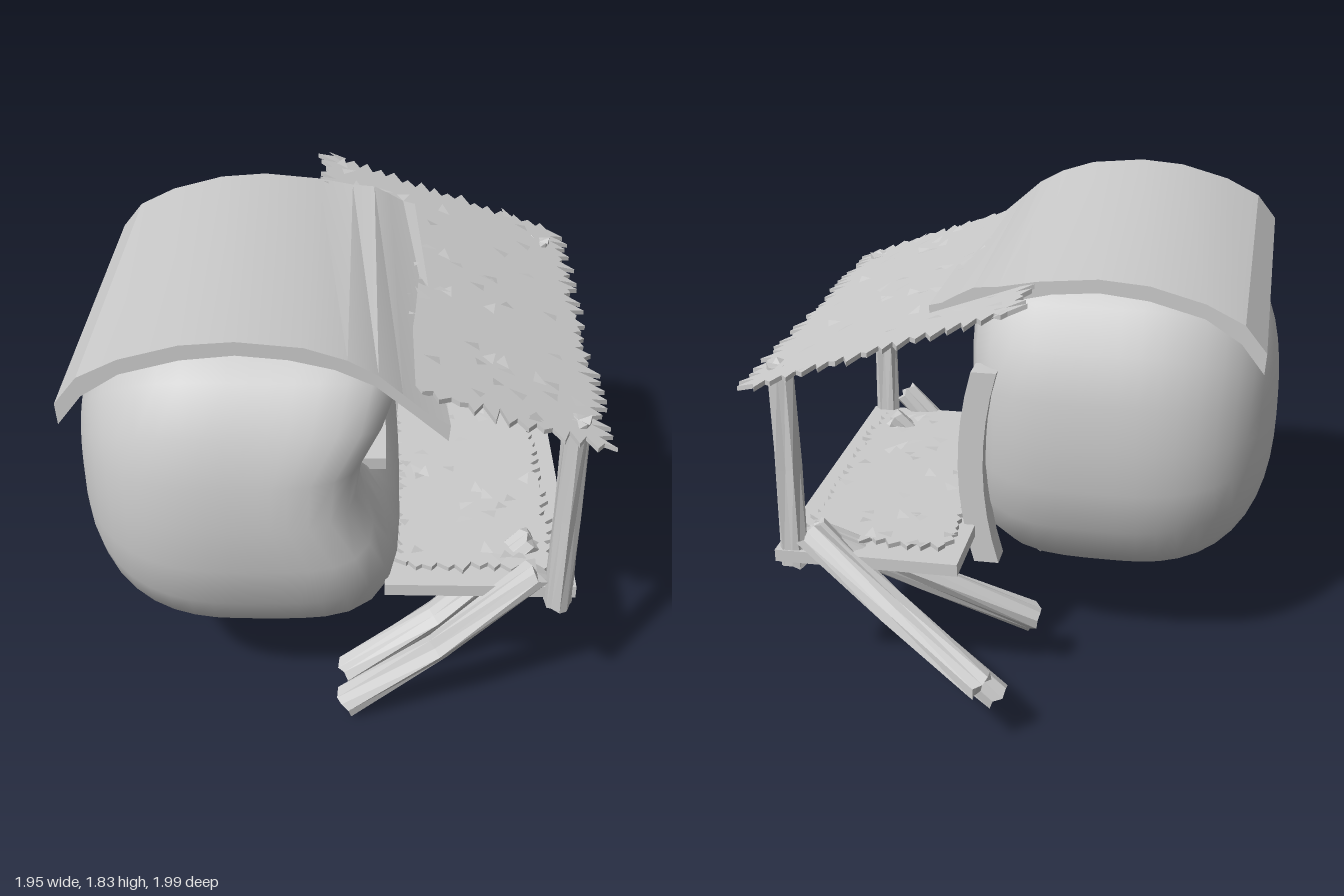
import * as THREE from 'three';
import { toCreasedNormals } from 'three/addons/utils/BufferGeometryUtils.js';

const smooth = new THREE.MeshStandardMaterial({ color: 0xcccccc, side: THREE.DoubleSide });
const flat = new THREE.MeshStandardMaterial({ color: 0xcccccc, flatShading: true, side: THREE.DoubleSide });

let seed = 7;
const rand = () => (seed = (seed * 16807) % 2147483647) / 2147483647;

function add(group, name, geometry, material = flat) {
  const mesh = new THREE.Mesh(geometry, material);
  mesh.name = name;
  group.add(mesh);
  return mesh;
}

// Apply a rule to every vertex
function warp(geometry, rule) {
  const p = geometry.attributes.position;
  const v = new THREE.Vector3();
  for (let i = 0; i < p.count; i++) {
    rule(v.fromBufferAttribute(p, i));
    p.setXYZ(i, v.x, v.y, v.z);
  }
  geometry.computeVertexNormals();
  return geometry;
}

// Rough log between two points, sagging slightly in the middle
function log(group, name, from, to, radius, sag = 0) {
  const a = new THREE.Vector3(...from), b = new THREE.Vector3(...to);
  const phase = rand() * 6;
  const geo = new THREE.CylinderGeometry(radius * 0.92, radius, a.distanceTo(b), 10, 2);
  warp(geo, (v) => {
    const angle = Math.atan2(v.z, v.x);
    const k = 1 + 0.14 * Math.sin(angle * 3 + phase) + 0.1 * Math.sin(angle * 5 + v.y * 4);
    v.x *= k;
    v.z *= k;
    v.y += 0.012 * Math.sin(angle * 4 + phase) * Math.sign(v.y);
  });
  const dir = b.clone().sub(a).normalize();
  geo.applyQuaternion(new THREE.Quaternion().setFromUnitVectors(new THREE.Vector3(0, 1, 0), dir));
  const mid = a.clone().add(b).multiplyScalar(0.5);
  const half = a.distanceTo(b) / 2;
  warp(geo, (v) => {
    const t = Math.min(1, Math.abs(v.dot(dir) / half));
    v.y -= sag * (1 - t);
    v.add(mid);
  });
  add(group, name, geo);
}

// Thin straw mat with a ragged border and loose tufts; height(x) gives its level
function strawMat(group, name, x0, x1, z0, z1, height, rag, tufts) {
  const corners = [[x0, z0], [x1, z0], [x1, z1], [x0, z1]];
  const pts = [];
  corners.forEach(([ax, az], c) => {
    const [bx, bz] = corners[(c + 1) % 4];
    const len = Math.hypot(bx - ax, bz - az);
    const n = Math.round(len / 0.03);
    for (let i = 0; i < n; i++) {
      const out = rag * (i % 2 ? 0.1 + rand() : -0.8 * rand());
      const t = (i + 0.5 * rand()) / n;
      pts.push(new THREE.Vector2(
        ax + (bx - ax) * t + ((bz - az) / len) * out,
        az + (bz - az) * t - ((bx - ax) / len) * out));
    }
  });
  const geo = new THREE.ExtrudeGeometry(new THREE.Shape(pts), { depth: 0.018, bevelEnabled: false });
  geo.rotateX(Math.PI / 2);
  add(group, name, warp(geo, (v) => { v.y += height(v.x); }));

  const pos = [];
  for (let i = 0; i < tufts; i++) {
    const x = x0 + (x1 - x0) * rand(), z = z0 + (z1 - z0) * rand(), turn = rand() * 6.28;
    [[0, 0.03], [2.6, 0.03], [4.2, 0.06]].forEach(([a, r], k) => {
      const px = x + r * Math.cos(turn + a), pz = z + r * Math.sin(turn + a);
      pos.push(px, height(px) + (k === 2 ? 0.012 : -0.002), pz);
    });
  }
  const tuftGeo = new THREE.BufferGeometry();
  tuftGeo.setAttribute('position', new THREE.Float32BufferAttribute(pos, 3));
  tuftGeo.computeVertexNormals();
  add(group, name + 'Tufts', tuftGeo);
}

export function createModel() {
  const model = new THREE.Group();
  model.name = 'roundHut';

  // Hollow rounded body, fuller on its +x side, where the window is open
  const body = new THREE.SphereGeometry(1, 24, 24, 0, Math.PI * 2, 0.3, Math.PI - 0.3);
  body.rotateZ(-Math.PI / 2);
  warp(body, (v) => {
    const near = Math.max(0, v.x) ** 4;
    const P = 2.6 + 1.9 * THREE.MathUtils.smoothstep(v.x, -0.2, 0.5);
    const r = (Math.abs(v.y) ** 2.6 + Math.abs(v.z) ** 2.6) ** (1 / 2.6);
    const n = (Math.abs(v.x) ** P + r ** P) ** (1 / P);
    v.set(-0.36 + (0.62 * v.x) / n, 1.03 + (0.69 * v.y) / n + 0.15 * near, 0.275 + (0.665 * v.z) / n + 0.07 * near);
    // hollow pressed in at the window, running out to the front
    const spread = v.z > 0.33 ? 0.9 : 0.3;
    const dent = 0.21 * Math.exp(-(((v.y - 1.13) / 0.23) ** 2) - ((v.z - 0.33) / spread) ** 2);
    v.x -= dent * THREE.MathUtils.smoothstep(v.x, -0.4, 0);
  });
  add(model, 'body', body, smooth);

  // Window sill
  const sill = add(model, 'windowSill', new THREE.BoxGeometry(0.12, 0.05, 0.31));
  sill.position.set(0.12, 1.025, 0.325);
  sill.rotation.x = 0.07;

  // Bowed door slab set into the back corner of the body
  const door = new THREE.BoxGeometry(0.1, 0.82, 0.1, 1, 8, 1);
  warp(door, (v) => {
    v.x += 0.195 - 0.35 * v.y * v.y;
    v.y += 0.9;
    v.z -= 0.3;
  });
  add(model, 'doorSlab', door);

  // Curved roof: the crown drops to the back while the porch edge lifts over the awning
  const outer = [[-0.92, 1.6], [-0.84, 1.7], [-0.7, 1.77], [-0.5, 1.825], [-0.32, 1.84], [-0.1, 1.82],
    [0.04, 1.775], [0.14, 1.72], [0.22, 1.65], [0.3, 1.58], [0.38, 1.53]];
  const inner = [[0.375, 1.47], [0.26, 1.57], [0.13, 1.68], [0, 1.74], [-0.15, 1.775], [-0.32, 1.79],
    [-0.5, 1.77], [-0.7, 1.715], [-0.83, 1.63], [-0.915, 1.52]];
  const profile = new THREE.Shape([...outer, ...inner].map(([x, y]) => new THREE.Vector2(x, y)));
  let roof = new THREE.ExtrudeGeometry(profile, { depth: 1.51, bevelEnabled: false });
  warp(roof, (v) => {
    v.z -= 0.52;
    const back = (0.99 - v.z) / 1.51;
    const side = Math.max(0, v.x / 0.38);
    v.y += back * (0.18 * side - 0.08);
    v.x *= 1 - 0.22 * back * side;
  });
  roof = toCreasedNormals(roof, 0.25);
  add(model, 'curvedRoof', roof, smooth);

  // Straw awning over the porch
  strawMat(model, 'strawAwning', -0.06, 0.92, -0.8, 0.88, (x) => 1.705 - 0.355 * x, 0.05, 60);

  // Porch floor and its straw mat
  const floor = add(model, 'porchFloor', new THREE.BoxGeometry(0.72, 0.05, 1.44));
  floor.position.set(0.54, 0.63, 0.04);
  strawMat(model, 'floorMat', 0.24, 0.82, -0.57, 0.66, () => 0.675, 0.03, 40);

  // Porch posts
  for (const [name, z] of [['frontPost', 0.765], ['backPost', -0.63]]) {
    log(model, name, [0.835, 0.58, z], [0.835, 1.41, z], 0.052);
  }

  // Slanted braces under the porch
  [
    [[0.04, 0.06, 0.77], [0.75, 0.74, 0.77], 0.04],
    [[0.04, 0.08, 0.62], [0.75, 0.7, 0.53], 0.04],
    [[0.04, 0.05, -0.63], [0.75, 0.74, -0.63], 0.04],
    [[-0.06, 0.25, -0.35], [0.75, 0.71, -0.63], 0],
    [[0.04, 0.3, -0.94], [0.75, 0.74, -0.7], 0],
  ].forEach(([from, to, sag], i) => log(model, 'brace' + (i + 1), from, to, 0.058, sag));

  return model;
}
